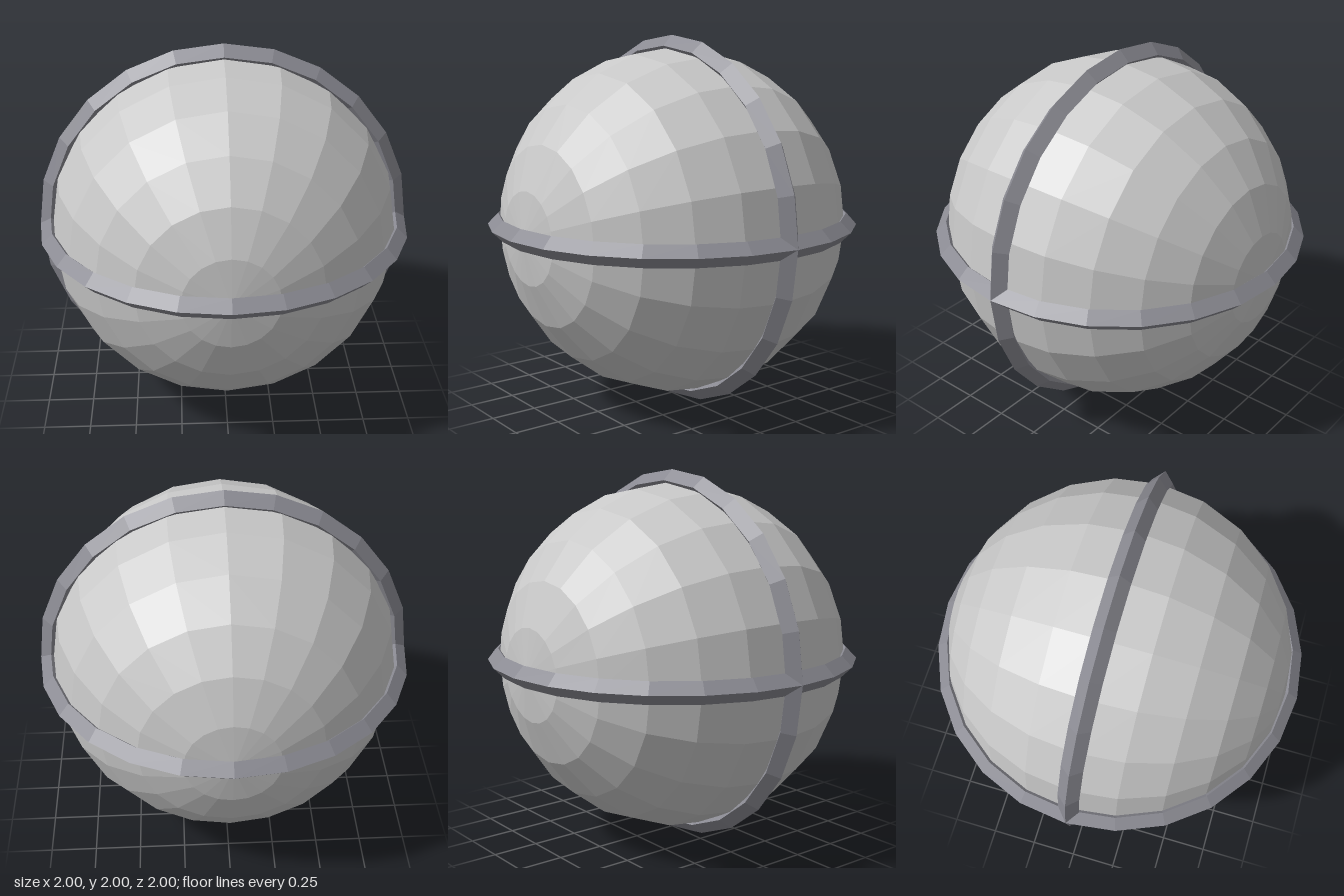
import * as THREE from 'three';

export function createModel() {
  const group = new THREE.Group();

  const shell = new THREE.MeshStandardMaterial({ color: 0xc8c8c8, flatShading: true });
  shell.name = 'light grey';
  const trim = new THREE.MeshStandardMaterial({ color: 0x8a8a92, flatShading: true });
  trim.name = 'slate grey';

  function add(name, geometry, material) {
    const mesh = new THREE.Mesh(geometry, material);
    mesh.name = name;
    mesh.position.y = 1;
    group.add(mesh);
  }

  // Faceted ball with its poles at the front and back
  add('ball', new THREE.SphereGeometry(0.935, 20, 12).rotateX(Math.PI / 2), shell);

  // Two crossing bands with a diamond cross-section
  const band = () => new THREE.TorusGeometry(0.943, 0.057, 4, 24);
  add('uprightBand', band(), trim);
  add('levelBand', band().rotateX(Math.PI / 2), trim);

  return group;
}
